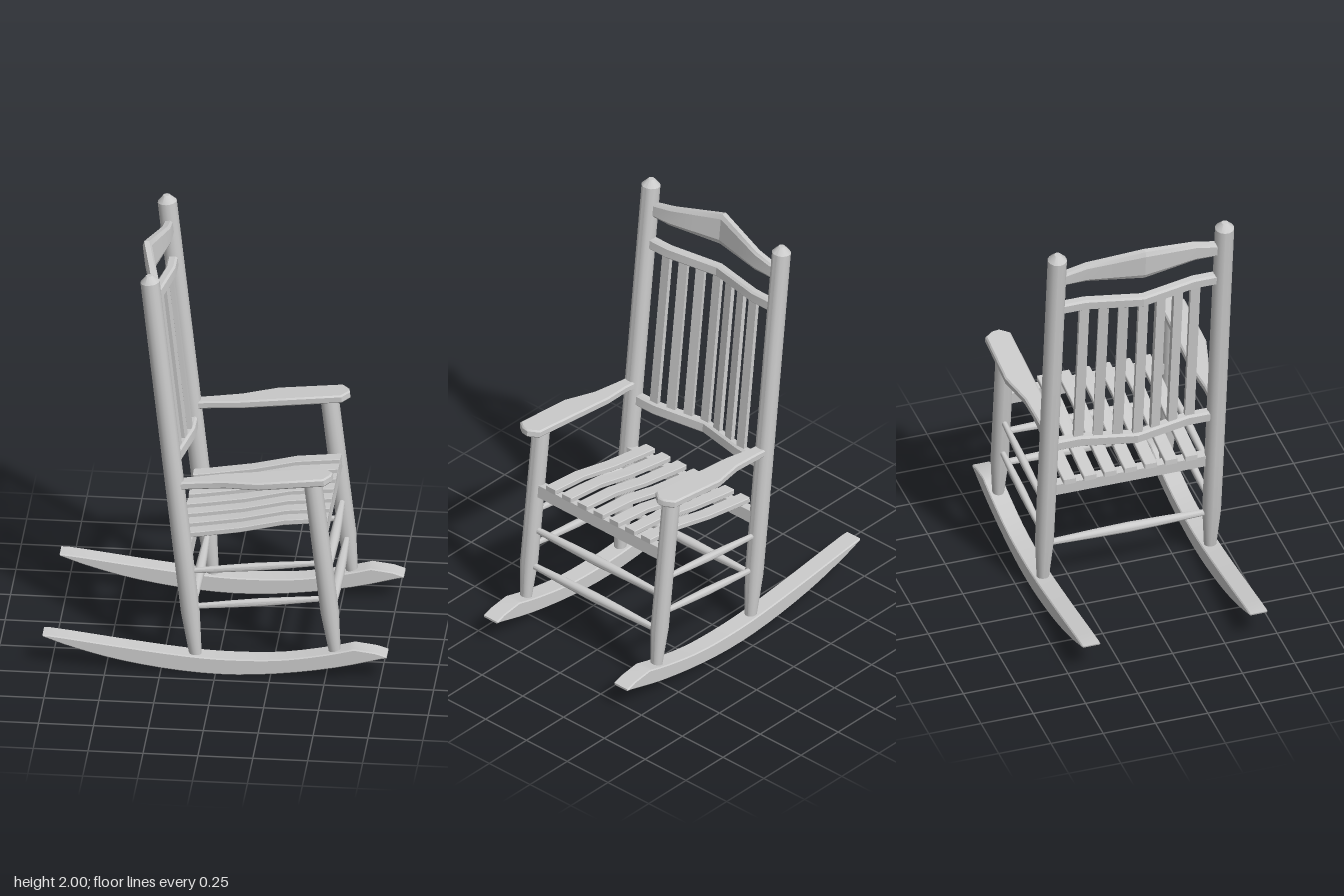
import * as THREE from 'three';
import { toCreasedNormals } from 'three/addons/utils/BufferGeometryUtils.js';

const material = new THREE.MeshStandardMaterial({ color: 0xcccccc });
const LEAN = 0.11;
const SIDE_Z = 0.4;

function addMesh(parent, name, geometry, crease = 0.65) {
  const mesh = new THREE.Mesh(toCreasedNormals(geometry, crease), material);
  mesh.name = name;
  parent.add(mesh);
  return mesh;
}

// Turned rod from a to b; profile is [radius, fraction along the length]
function addRod(parent, name, a, b, profile) {
  const from = new THREE.Vector3(...a);
  const dir = new THREE.Vector3(...b).sub(from);
  const length = dir.length();
  const points = profile.map(([r, t]) => new THREE.Vector2(r, t * length));
  const mesh = addMesh(parent, name, new THREE.LatheGeometry(points, 14));
  mesh.position.copy(from);
  mesh.quaternion.setFromUnitVectors(new THREE.Vector3(0, 1, 0), dir.normalize());
}

// Bevelled board from an outline, centred on its thickness
function board(points, thickness, bevel) {
  const shape = new THREE.Shape(points.map(([x, y]) => new THREE.Vector2(x, y)));
  return new THREE.ExtrudeGeometry(shape, {
    depth: thickness - 2 * bevel, bevelSize: bevel, bevelOffset: -bevel,
    bevelThickness: bevel, bevelSegments: 1,
  }).translate(0, 0, bevel - thickness / 2);
}

// How far the back bows rearward at a given z
const bow = (z) => -0.052 * Math.max(0, 1 - Math.abs(z) / 0.26);

// Bowed cross rail with chamfered section; top(z) gives its upper edge
function bowedRail(low, top, thick) {
  const c = 0.009, w = thick / 2;
  const shape = new THREE.Shape([
    [-w + c, 0], [w - c, 0], [w, 0.15], [w, 0.85],
    [w - c, 1], [-w + c, 1], [-w, 0.85], [-w, 0.15],
  ].map((p) => new THREE.Vector2(...p)));
  const geometry = new THREE.ExtrudeGeometry(shape, { depth: 0.78, steps: 6, bevelEnabled: false });
  geometry.translate(0, 0, -0.39);
  const pos = geometry.attributes.position;
  for (let i = 0; i < pos.count; i++) {
    const z = pos.getZ(i);
    pos.setX(i, pos.getX(i) + bow(z));
    pos.setY(i, low + pos.getY(i) * (top(z) - low));
  }
  return geometry;
}

export function createModel() {
  const chair = new THREE.Group();
  chair.name = 'rockingChair';
  const thinRod = [[0, 0], [0.012, 0], [0.017, 0.3], [0.019, 0.5], [0.017, 0.7], [0.012, 1], [0, 1]];
  const crossRod = [[0, 0], [0.014, 0], [0.021, 0.3], [0.024, 0.5], [0.021, 0.7], [0.014, 1], [0, 1]];

  // Curved runner profile: top edge spline, blunt nose, bottom edge spline
  const spline = (pts, n) => new THREE.SplineCurve(pts.map((p) => new THREE.Vector2(...p)))
    .getPoints(n).map((v) => [v.x, v.y]);
  const runner = [
    ...spline([[-0.785, 0.152], [-0.75, 0.16], [-0.4, 0.117], [-0.1, 0.086], [0.1, 0.08],
      [0.3, 0.09], [0.5, 0.125], [0.63, 0.158]], 22),
    [0.73, 0.145], [0.78, 0.129], [0.78, 0.119],
    ...spline([[0.75, 0.113], [0.55, 0.06], [0.3, 0.018], [0.05, 0], [-0.2, 0.014],
      [-0.45, 0.053], [-0.65, 0.105], [-0.76, 0.143]], 20),
  ];

  for (const side of [1, -1]) {
    const z = side * SIDE_Z;
    const half = new THREE.Group();
    half.name = side > 0 ? 'leftSide' : 'rightSide';
    chair.add(half);

    addMesh(half, 'rocker', board(runner, 0.088, 0.005)).position.z = z;

    // Posts with tapered feet; the tall one has a pointed cap
    addRod(half, 'backPost', [-0.092, 0.06, z], [-0.305, 2, z],
      [[0, 0], [0.027, 0], [0.043, 0.12], [0.044, 0.3], [0.044, 0.983], [0.015, 0.999], [0, 1]]);
    addRod(half, 'frontPost', [0.542, 0.11, z], [0.438, 1, z],
      [[0, 0], [0.026, 0], [0.042, 0.24], [0.042, 1], [0, 1]]);

    // Armrest, widening toward the front
    const arm = board([
      [-0.2, side * 0.37], [-0.1, side * 0.37], [0.03, side * 0.355], [0.5, side * 0.355],
      [0.535, side * 0.4], [0.53, side * 0.435], [0.5, side * 0.476], [0.2, side * 0.48],
      [0.04, side * 0.44], [-0.1, side * 0.432], [-0.2, side * 0.43],
    ], 0.038, 0.007);
    arm.rotateX(Math.PI / 2).rotateZ(LEAN).translate(0, 0.961, 0);
    addMesh(half, 'armrest', arm);

    // Side stretchers
    addRod(half, 'upperSideStretcher', [-0.135, 0.5, z], [0.485, 0.571, z], thinRod);
    addRod(half, 'lowerSideStretcher', [-0.115, 0.32, z], [0.51, 0.392, z], thinRod);
  }

  // Cross stretchers
  for (const [name, x, y] of [
    ['upperFrontStretcher', 0.498, 0.487], ['lowerFrontStretcher', 0.519, 0.3],
    ['backStretcher', -0.117, 0.28],
  ]) addRod(chair, name, [x, y, -SIDE_Z], [x, y, SIDE_Z], crossRod);

  // Seat rails
  for (const [name, x, y] of [['frontSeatRail', 0.474, 0.697], ['backSeatRail', -0.135, 0.592]]) {
    const rail = new THREE.BoxGeometry(0.045, 0.06, 0.76).rotateZ(LEAN).translate(x, y, 0);
    addMesh(chair, name, rail);
  }

  // Contoured seat slats
  const seatCurve = [[-0.172, 0.62], [-0.1, 0.63], [0.1, 0.663], [0.3, 0.711], [0.5, 0.732]];
  const slatOutline = [...seatCurve, ...seatCurve.map(([x, y]) => [x, y + 0.026]).reverse()];
  for (let i = -3; i <= 3; i++) {
    addMesh(chair, 'seatSlat', board(slatOutline, 0.06, 0.003)).position.z = i * 0.097 - 0.005;
  }

  // Leaning back: crest, two rails and spindles
  const back = new THREE.Group();
  back.name = 'back';
  back.position.x = -0.086;
  back.rotation.z = LEAN;
  chair.add(back);
  addMesh(back, 'crest', bowedRail(1.83, (z) => 1.983 - 0.235 * Math.abs(z), 0.042), 0.35);
  addMesh(back, 'upperBackRail', bowedRail(1.66, () => 1.716, 0.046), 0.35);
  addMesh(back, 'lowerBackRail', bowedRail(0.84, () => 0.898, 0.046), 0.35);
  for (let i = -3; i <= 3; i++) {
    const z = i * 0.0885 + 0.004;
    const slat = addMesh(back, 'backSlat', new THREE.BoxGeometry(0.02, 0.79, 0.046));
    slat.position.set(bow(z), 1.279, z);
    slat.rotation.y = Math.abs(z) < 0.02 || Math.abs(z) > 0.26 ? 0 : Math.sign(z) * 0.19;
  }
  return chair;
}
